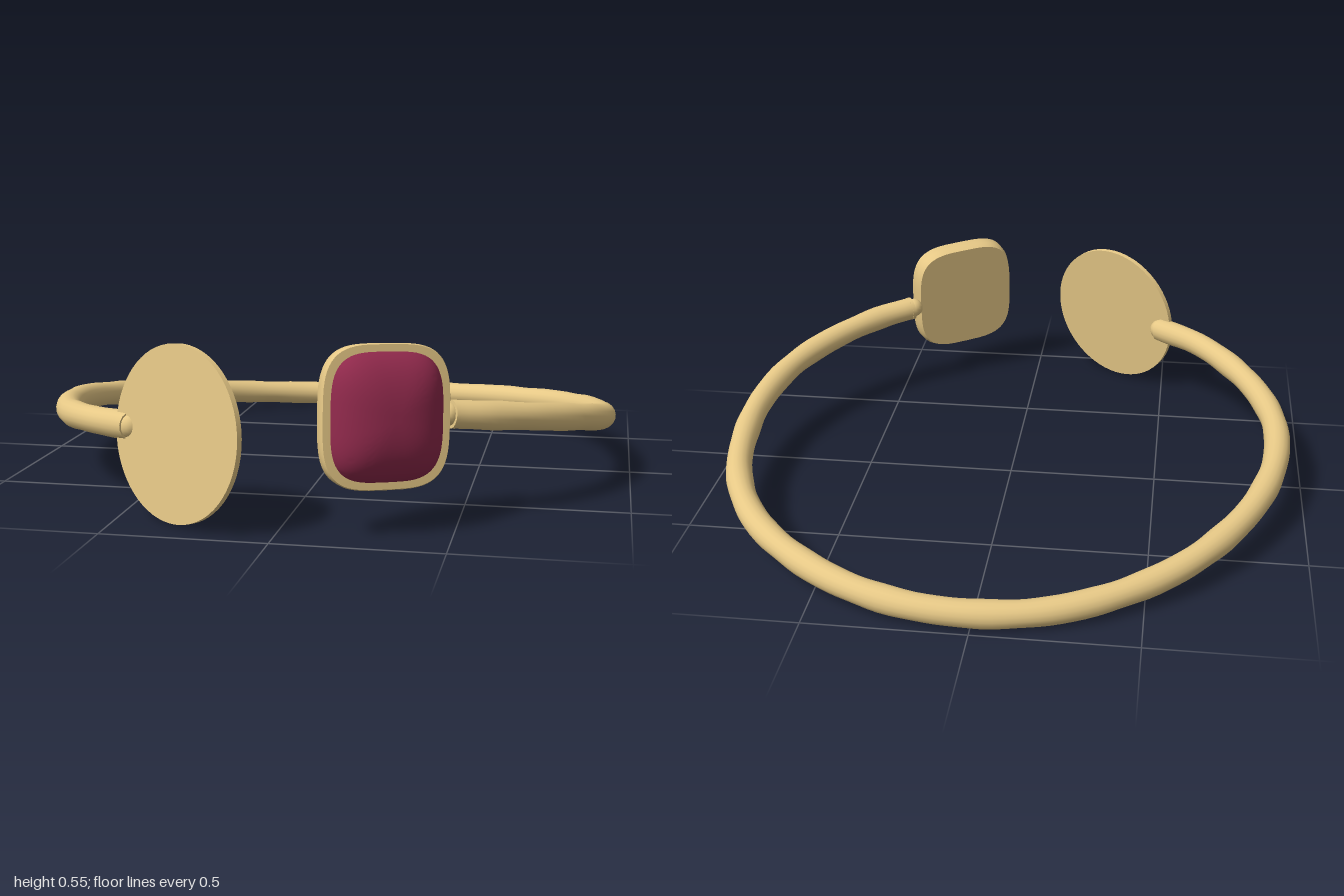
import * as THREE from 'three';
import { toCreasedNormals } from 'three/addons/utils/BufferGeometryUtils.js';

// Lofts rounded-square rings [halfWidth, halfHeight, z], closed by a point at each end
function loftRoundedSquare(rings, sides = 64) {
  const pos = [], index = [];
  const power = 2 / 3.6;
  const curve = (v) => Math.sign(v) * Math.pow(Math.abs(v), power);
  rings.forEach(([w, h, z]) => {
    for (let i = 0; i < sides; i++) {
      const a = (i / sides) * Math.PI * 2;
      pos.push(w * curve(Math.cos(a)), h * curve(Math.sin(a)), z);
    }
  });
  const first = pos.length / 3, last = first + 1;
  pos.push(0, 0, rings[0][2], 0, 0, rings[rings.length - 1][2]);
  const top = (rings.length - 1) * sides;
  for (let i = 0; i < sides; i++) {
    const j = (i + 1) % sides;
    for (let r = 0; r < rings.length - 1; r++) {
      const a = r * sides + i, b = r * sides + j;
      index.push(a, b, b + sides, a, b + sides, a + sides);
    }
    index.push(first, j, i, last, top + i, top + j);
  }
  const geo = new THREE.BufferGeometry();
  geo.setAttribute('position', new THREE.Float32BufferAttribute(pos, 3));
  geo.setIndex(index);
  return toCreasedNormals(geo, 0.6);
}

export function createModel() {
  const model = new THREE.Group();
  model.name = 'cuffBracelet';
  const gold = new THREE.MeshStandardMaterial({ color: 0xe6c886 });
  gold.name = 'gold';
  const ruby = new THREE.MeshStandardMaterial({ color: 0x8f294b });
  ruby.name = 'ruby red';

  const add = (parent, name, geo, mat) => {
    const mesh = new THREE.Mesh(geo, mat);
    mesh.name = name;
    parent.add(mesh);
    return mesh;
  };
  // Places an object and turns its +z along a direction
  const aim = (obj, at, dir) => {
    obj.position.copy(at);
    obj.lookAt(at.clone().add(dir));
  };

  // Open band, sloping down towards the back
  const path = new THREE.CatmullRomCurve3([
    [-0.49, 0.26, 0.727], [-0.635, 0.25, 0.625], [-0.79, 0.225, 0.425], [-0.88, 0.205, 0.2],
    [-0.907, 0.187, 0], [-0.88, 0.158, -0.22], [-0.785, 0.122, -0.45], [-0.615, 0.086, -0.675],
    [-0.41, 0.06, -0.83], [-0.2, 0.047, -0.922], [0.03, 0.049, -0.957], [0.26, 0.06, -0.93],
    [0.495, 0.078, -0.825], [0.722, 0.105, -0.628], [0.853, 0.135, -0.39], [0.903, 0.17, -0.12],
    [0.895, 0.205, 0.08], [0.835, 0.245, 0.28], [0.72, 0.28, 0.46], [0.58, 0.308, 0.6],
    [0.475, 0.322, 0.67],
  ].map((p) => new THREE.Vector3(...p)));
  const radius = 0.043, segments = 140, around = 18;
  const bandGeo = new THREE.TubeGeometry(path, segments, radius, around);

  // Slight hand-hammered unevenness along the band
  const bp = bandGeo.attributes.position, v = new THREE.Vector3();
  for (let i = 0; i <= segments; i++) {
    const centre = path.getPointAt(i / segments);
    const swell = 1 + 0.025 * Math.sin(i * 0.75) + 0.015 * Math.sin(i * 1.31);
    for (let j = 0; j <= around; j++) {
      const k = i * (around + 1) + j;
      v.fromBufferAttribute(bp, k).sub(centre).multiplyScalar(swell).add(centre);
      bp.setXYZ(k, v.x, v.y, v.z);
    }
  }
  add(model, 'band', bandGeo, gold);

  // Flat end collars and small joining beads
  [['right', 0, -1, 0.038, 0.004], ['left', 1, 1, 0.034, 0.014]].forEach(([side, t, sign, bead, reach]) => {
    const end = path.getPointAt(t);
    const dir = path.getTangentAt(t).multiplyScalar(sign);
    const collarGeo = new THREE.CylinderGeometry(radius, radius, 0.012, around);
    const collar = add(model, side + 'EndCollar', collarGeo.rotateX(Math.PI / 2), gold);
    aim(collar, end, dir);
    const ball = add(model, side + 'JoiningBead', new THREE.SphereGeometry(bead, 16, 12), gold);
    ball.position.copy(end).addScaledVector(dir, reach);
  });

  // Flat round disc on the right end, leaning slightly back
  const discGeo = new THREE.CylinderGeometry(0.263, 0.263, 0.018, 64).rotateX(Math.PI / 2);
  const disc = add(model, 'roundDisc', discGeo, gold);
  aim(disc, new THREE.Vector3(-0.305, 0.27, 0.853), new THREE.Vector3(-0.53, 0.1, 0.85));

  // Stone in its setting on the left end, rolled slightly
  const jewel = new THREE.Group();
  jewel.name = 'jewel';
  model.add(jewel);
  aim(jewel, new THREE.Vector3(0.294, 0.34, 0.815), new THREE.Vector3(0.53, 0.1, 0.85));
  jewel.rotateZ(-0.05);
  add(jewel, 'setting', loftRoundedSquare([
    [0.188, 0.199, -0.033], [0.196, 0.207, -0.01], [0.198, 0.209, 0.025],
    [0.195, 0.206, 0.031], [0.168, 0.179, 0.032],
  ]), gold);

  // Domed stone, rounding evenly up to a soft crown
  const dome = [];
  const start = 0.2;
  for (let i = 0; i <= 14; i++) {
    const a = start + (i / 14) * (Math.PI / 2 * 0.985 - start);
    const s = Math.pow(Math.cos(a) / Math.cos(start), 0.85);
    dome.push([0.173 * s, 0.186 * s, 0.01 + 0.1 * Math.sin(a)]);
  }
  add(jewel, 'stone', loftRoundedSquare(dome), ruby);

  return model;
}
